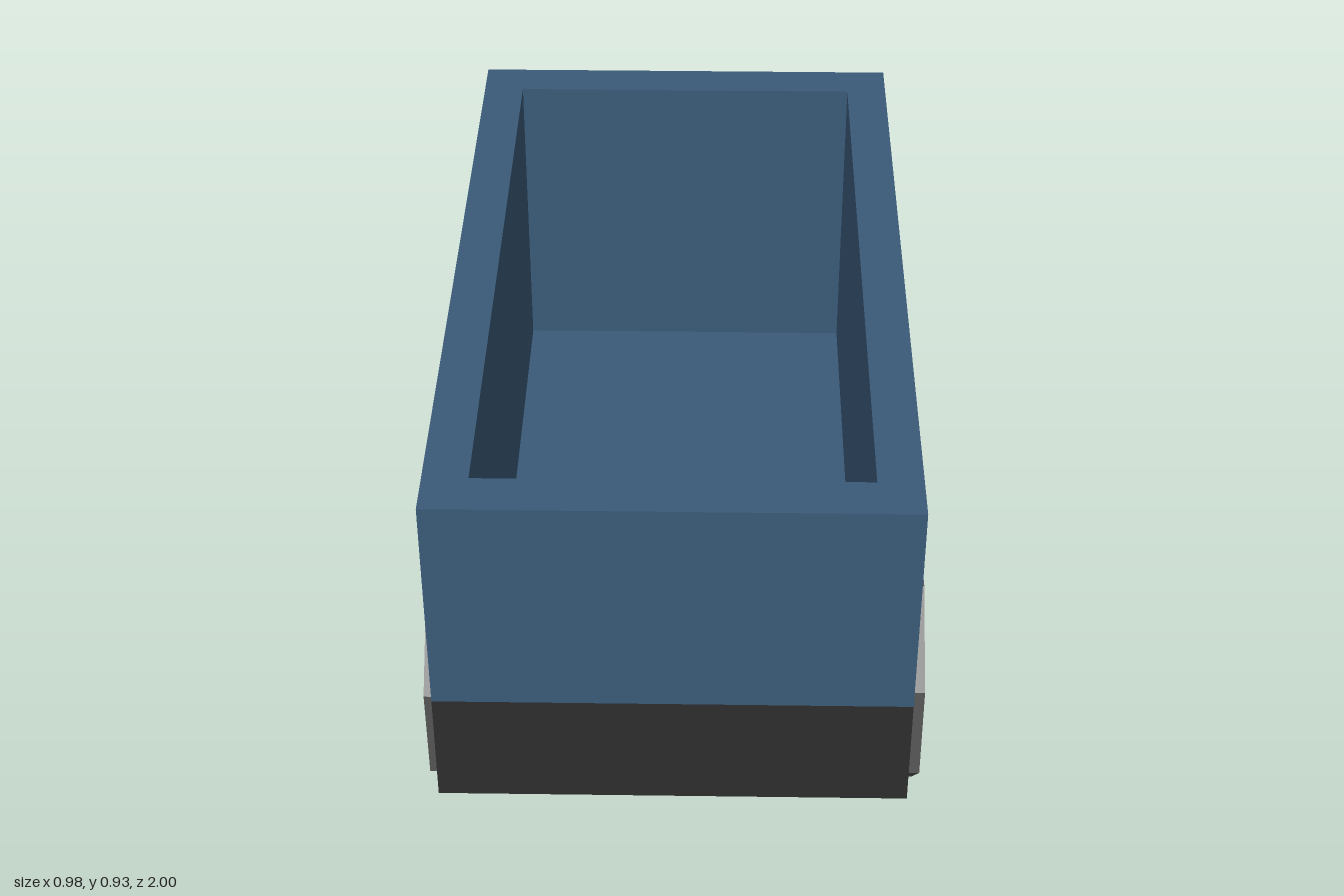
import * as THREE from 'three';

const material = (name, color, side = THREE.FrontSide) => {
  const m = new THREE.MeshStandardMaterial({ color, side });
  m.name = name;
  return m;
};

// Box with some faces left out; face order is +x, -x, +y, -y, +z, -z
function openBox(w, h, d, skipped) {
  const g = new THREE.BoxGeometry(w, h, d);
  const index = Array.from(g.index.array);
  g.setIndex(index.filter((_, i) => !skipped.includes(Math.floor(i / 6))));
  g.clearGroups();
  return g;
}

export function createModel() {
  const model = new THREE.Group();
  model.name = 'wagon';
  const blue = material('blue paint', 0x3a5a78, THREE.DoubleSide);
  const black = material('black frame', 0x2d2d2d);
  const grey = material('grey metal', 0x565656, THREE.DoubleSide);
  const red = material('red ring', 0xd02020);

  const add = (parent, name, geometry, mat, x = 0, y = 0, z = 0) => {
    const mesh = new THREE.Mesh(geometry, mat);
    mesh.name = name;
    mesh.position.set(x, y, z);
    parent.add(mesh);
    return mesh;
  };

  // Body: outer walls, inner lining with floor, and flat rim
  const w = 0.9, d = 1.6, midZ = 0.2, top = 0.94, split = 0.48, base = 0.24;
  const innerW = 0.73, innerD = 1.42, floor = 0.28;
  add(model, 'bodyWalls', openBox(w, top - split, d, [2, 3]), blue, 0, (top + split) / 2, midZ);
  add(model, 'bodyLining', openBox(innerW, top - floor, innerD, [2]), blue, 0, (top + floor) / 2, midZ);

  const rectangle = (Path, rw, rd) => new Path([
    new THREE.Vector2(-rw / 2, -rd / 2), new THREE.Vector2(rw / 2, -rd / 2),
    new THREE.Vector2(rw / 2, rd / 2), new THREE.Vector2(-rw / 2, rd / 2),
  ]);
  const rimShape = rectangle(THREE.Shape, w, d);
  rimShape.holes.push(rectangle(THREE.Path, innerW, innerD));
  add(model, 'bodyRim', new THREE.ShapeGeometry(rimShape).rotateX(-Math.PI / 2), blue, 0, top, midZ);

  // Chassis below the body
  add(model, 'chassis', openBox(w, split - base, d, [2]), black, 0, (split + base) / 2, midZ);

  // Hollow drawbar, open at its ends
  add(model, 'drawbar', openBox(0.1, 0.1, 0.4, [4, 5]), grey, -0.014, 0.46, -0.8);

  // Eight-sided wheels with a red ring around a dark hub
  const thickness = 0.037;
  const wheelShape = new THREE.CylinderGeometry(0.272, 0.272, thickness, 8, 1, false, Math.PI / 8)
    .toNonIndexed();
  wheelShape.computeVertexNormals();
  wheelShape.rotateZ(-Math.PI / 2).rotateX(-0.035);
  const ringShape = new THREE.RingGeometry(0.056, 0.072, 16).rotateY(Math.PI / 2);
  const hubShape = new THREE.CircleGeometry(0.056, 16).rotateY(Math.PI / 2);

  for (const side of [1, -1]) {
    for (const [place, z] of [['front', 0.6], ['rear', -0.14]]) {
      const wheel = new THREE.Group();
      wheel.name = place + (side > 0 ? 'Left' : 'Right') + 'Wheel';
      wheel.position.set(side * (w / 2 + thickness / 2), 0.26, z);
      wheel.rotation.y = side > 0 ? 0 : Math.PI;
      add(wheel, 'wheelDisc', wheelShape, grey);
      add(wheel, 'hubRing', ringShape, red, thickness / 2 + 0.002);
      add(wheel, 'hubCap', hubShape, black, thickness / 2 + 0.002);
      model.add(wheel);
    }
  }
  return model;
}
